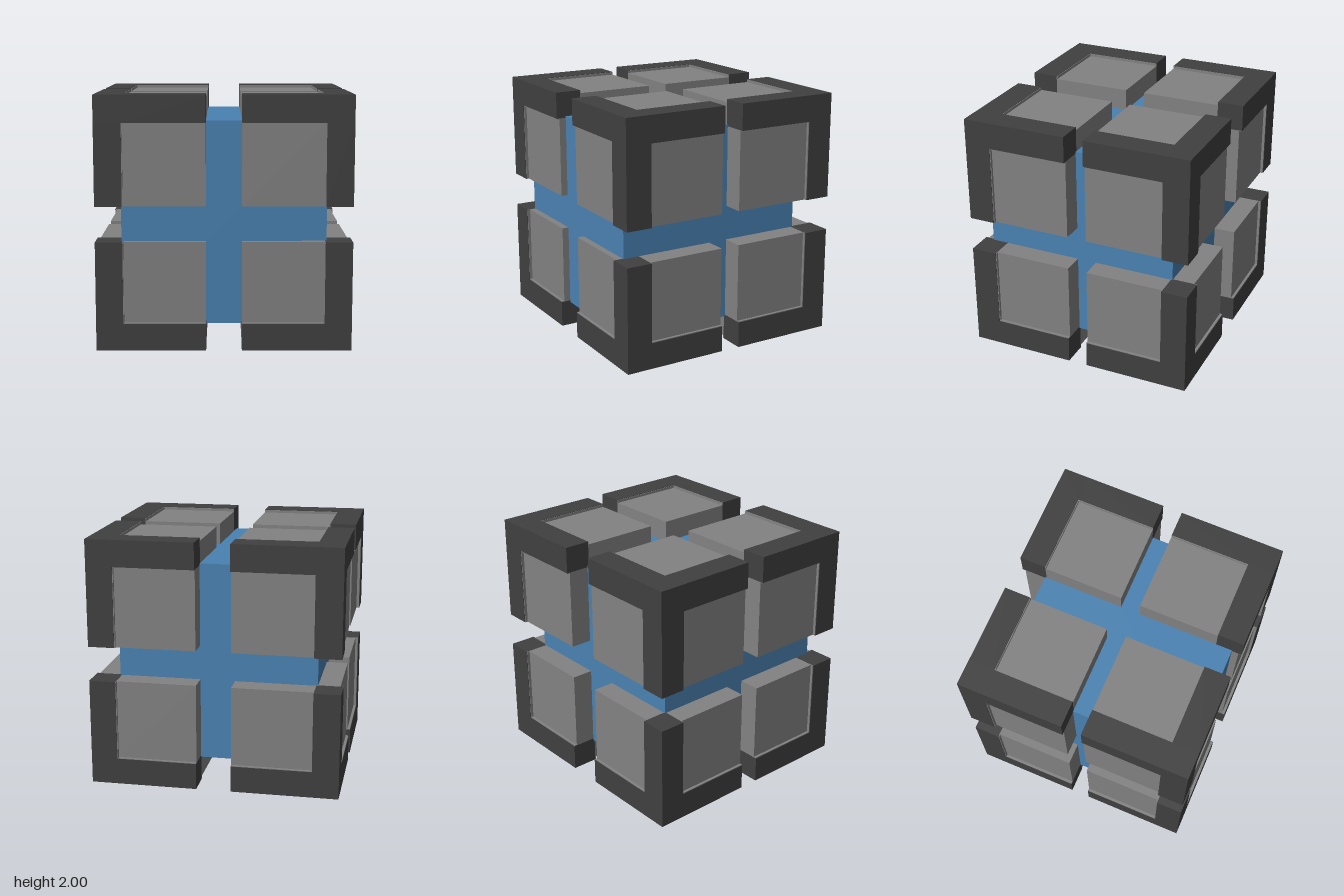
import * as THREE from 'three';

const BLOCK = 0.86;   // outer size of a corner block
const PANEL = 0.647;  // panel width between the gap and the edge bar
const FACE = 0.835;   // recessed panel height
const LIP = 0.006;    // thin lining of the recess

export function createModel() {
  const blue = new THREE.MeshStandardMaterial({ color: 0x4a82b2 });
  blue.name = 'core blue';
  const grey = new THREE.MeshStandardMaterial({ color: 0x828282 });
  grey.name = 'panel grey';
  const dark = new THREE.MeshStandardMaterial({ color: 0x404040 });
  dark.name = 'frame dark grey';

  const model = new THREE.Group();
  model.name = 'cornerFramedCube';

  // Central cube
  const core = new THREE.Mesh(new THREE.BoxGeometry(1.6, 1.6, 1.6), blue);
  core.name = 'core';
  core.position.set(0, 1, 0.06);
  model.add(core);

  // Adds a box between two corners given in a block's own outward axes
  function addBox(group, name, material, min, max, signs) {
    const size = max.map((v, i) => v - min[i]);
    const mesh = new THREE.Mesh(new THREE.BoxGeometry(...size), material);
    mesh.name = name;
    mesh.position.set(...signs.map((s, i) => s * (min[i] + max[i]) / 2));
    group.add(mesh);
  }

  // Rotates the x, y, z order of a triple
  const turn = (v, k) => [0, 1, 2].map(i => v[(i + k) % 3]);

  // One corner block: three edge bars, their joint and three recessed panels
  function makeBlock(signs) {
    const block = new THREE.Group();
    block.name = 'cornerBlock';
    addBox(block, 'frameCorner', dark, [PANEL, PANEL, PANEL], [BLOCK, BLOCK, BLOCK], signs);
    for (let k = 0; k < 3; k++) {
      const add = (name, mat, min, max) =>
        addBox(block, name, mat, turn(min, k), turn(max, k), signs);
      add('frameBar', dark, [0, PANEL, PANEL], [PANEL, BLOCK, BLOCK]);
      add('panel', grey, [0, 0, 0], [PANEL, PANEL, FACE]);
      // Lining along the two framed sides of the panel
      add('panelLip', grey, [PANEL - LIP, 0, FACE], [PANEL, PANEL, BLOCK - 0.003]);
      add('panelLip', grey, [0, PANEL - LIP, FACE], [PANEL - LIP, PANEL, BLOCK - 0.003]);
    }
    block.position.set(signs[0] * 0.14, 1 + signs[1] * 0.14, signs[2] * 0.08);
    return block;
  }

  for (const x of [-1, 1])
    for (const y of [-1, 1])
      for (const z of [-1, 1]) model.add(makeBlock([x, y, z]));

  return model;
}
